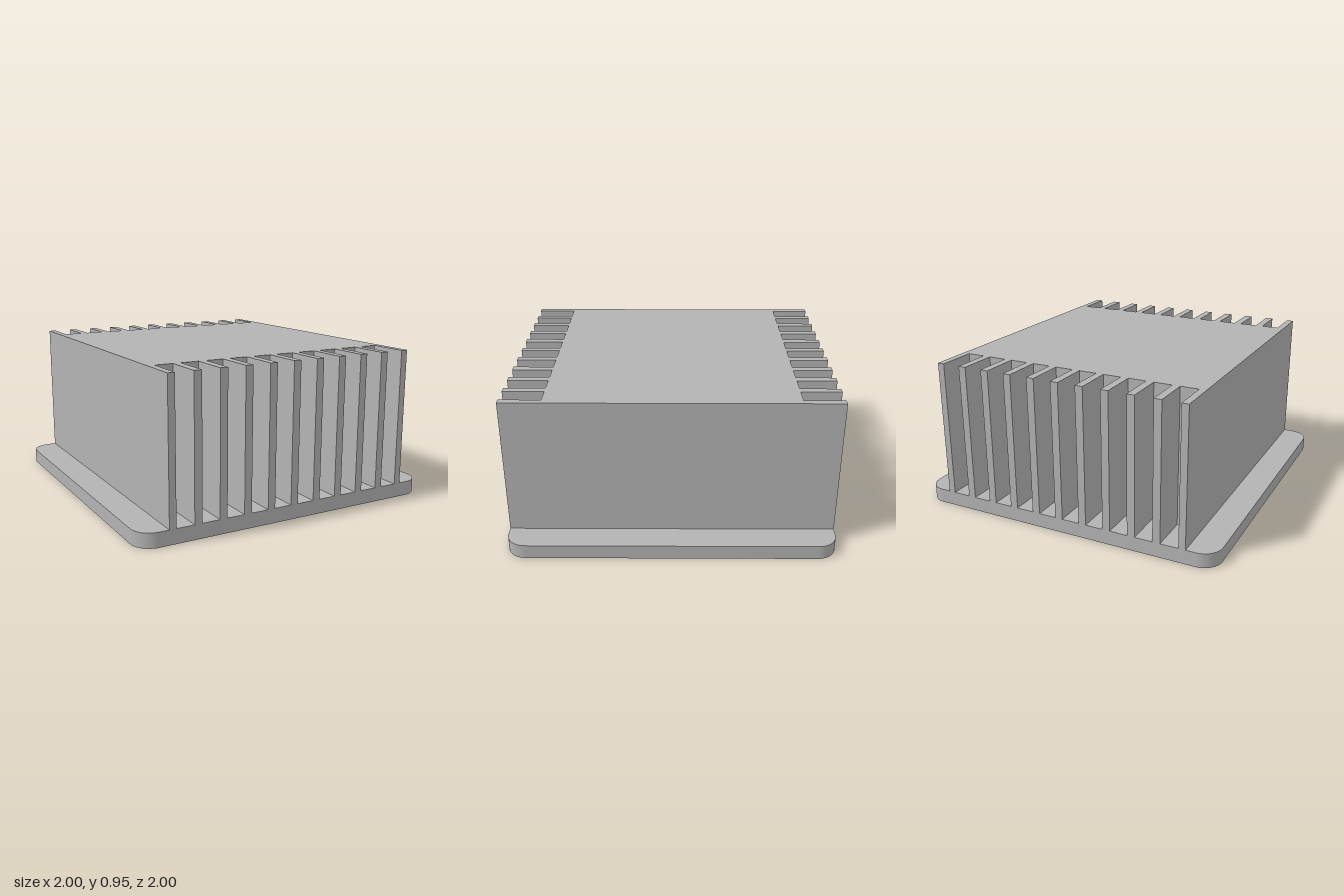
import * as THREE from 'three';
import { toCreasedNormals } from 'three/addons/utils/BufferGeometryUtils.js';

const BASE_H = 0.09, TOP = 0.952;
const SLOTS = 10, PITCH = 0.1604, SLOT_W = 0.112;
const HALF_W = 0.821, FRONT_SLOT = 0.75, BACK_SLOT = 0.755;

// Square plate outline with rounded corners
function roundedSquare(h, r) {
  const s = new THREE.Shape();
  s.moveTo(-h + r, -h);
  s.absarc(h - r, -h + r, r, -Math.PI / 2, 0);
  s.absarc(h - r, h - r, r, 0, Math.PI / 2);
  s.absarc(-h + r, h - r, r, Math.PI / 2, Math.PI);
  s.absarc(-h + r, -h + r, r, Math.PI, Math.PI * 1.5);
  s.closePath();
  return s;
}

// Block outline seen from above, notched along the front and back edges
function finnedOutline() {
  const pts = [];
  const edge = (dir, depth) => {
    pts.push(new THREE.Vector2(-dir * HALF_W, -dir));
    for (let i = 0; i < SLOTS; i++) {
      const c = (i - (SLOTS - 1) / 2) * PITCH;
      const a = dir * (c - SLOT_W / 2), b = dir * (c + SLOT_W / 2);
      pts.push(
        new THREE.Vector2(a, -dir), new THREE.Vector2(a, -dir * depth),
        new THREE.Vector2(b, -dir * depth), new THREE.Vector2(b, -dir));
    }
    pts.push(new THREE.Vector2(dir * HALF_W, -dir));
  };
  edge(1, FRONT_SLOT);
  edge(-1, BACK_SLOT);
  return new THREE.Shape(pts);
}

// Extrude a plan outline upward from y0 to y1
function extrudeUp(shape, y0, y1) {
  const g = new THREE.ExtrudeGeometry(shape, { depth: y1 - y0, bevelEnabled: false, curveSegments: 16 });
  g.rotateX(-Math.PI / 2).translate(0, y0, 0);
  return toCreasedNormals(g, Math.PI / 6);
}

export function createModel() {
  const group = new THREE.Group();
  group.name = 'heatSink';
  const metal = new THREE.MeshStandardMaterial({ color: 0xb3b3b3 });
  metal.name = 'grey metal';

  const base = new THREE.Mesh(extrudeUp(roundedSquare(1, 0.12), 0, BASE_H), metal);
  base.name = 'basePlate';

  const block = new THREE.Mesh(extrudeUp(finnedOutline(), BASE_H, TOP), metal);
  block.name = 'finnedBlock';

  group.add(base, block);
  return group;
}
